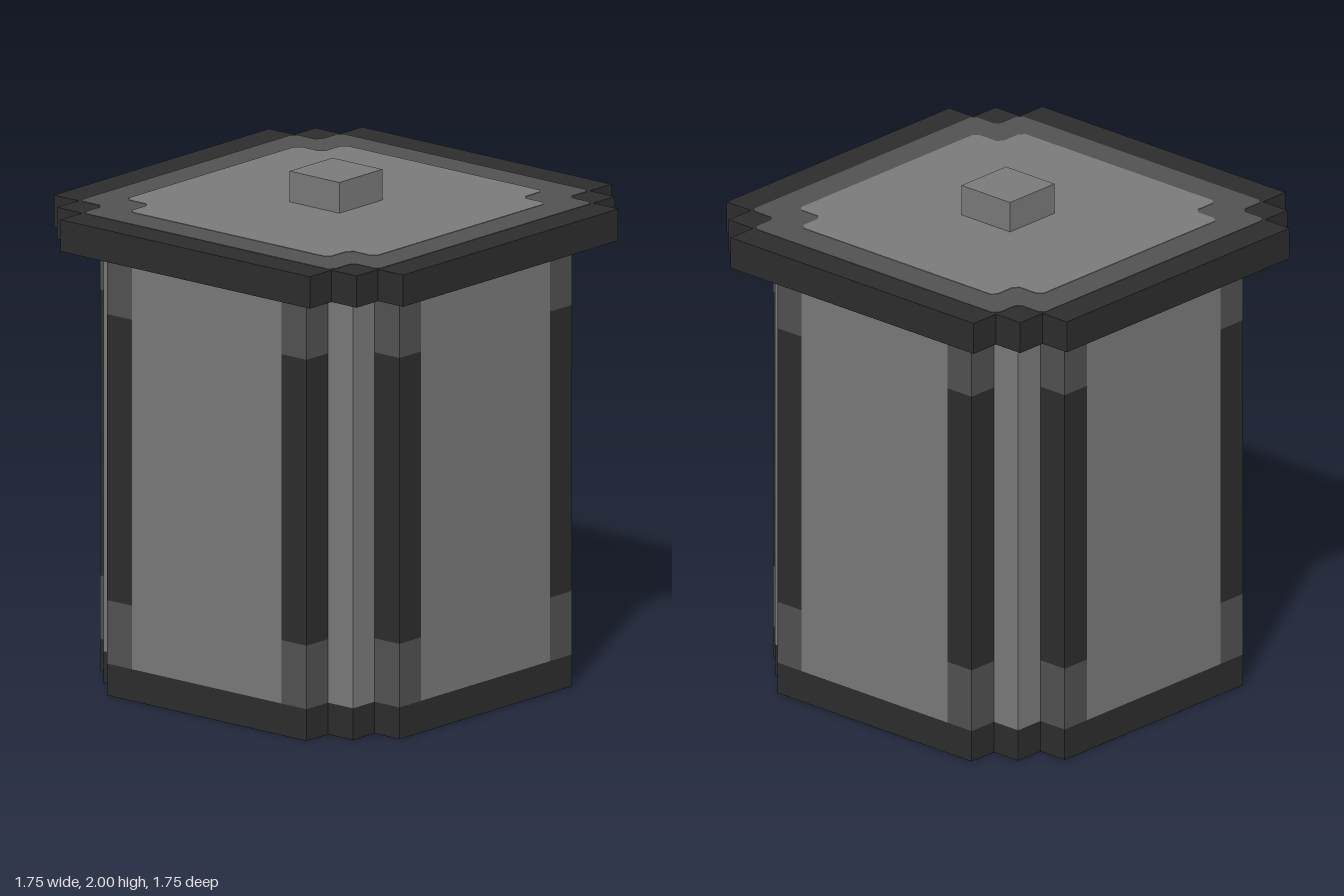
import * as THREE from 'three';

const U = 0.125; // basic step of the blocky design

const flat = (name, color) => {
  const m = new THREE.MeshStandardMaterial({ color });
  m.name = name;
  return m;
};

// Square outline with stepped corners. `steps` counts the notches per corner,
// `c` trims every corner by a small bevel.
function steppedShape(half, steps, c = 0) {
  const quarter = [];
  for (let i = 0; i <= steps; i++) {
    const x = half - i * U, y = half - (steps - i) * U;
    quarter.push([x, y]);
    if (i < steps) quarter.push([x - U, y]);
  }
  const corners = [];
  for (let q = 0; q < 4; q++) {
    for (const [x, y] of quarter) {
      corners.push(new THREE.Vector2(x, y).rotateAround(new THREE.Vector2(), q * Math.PI / 2));
    }
  }
  if (!c) return new THREE.Shape(corners);
  const points = [];
  corners.forEach((p, i) => {
    const prev = corners.at(i - 1), next = corners[(i + 1) % corners.length];
    for (const o of [prev, next]) points.push(p.clone().add(o.clone().sub(p).setLength(c)));
  });
  return new THREE.Shape(points);
}

export function createModel() {
  const model = new THREE.Group();
  model.name = 'lantern';
  const light = flat('lightGrey', 0x7b7b7b);
  const mid = flat('midGrey', 0x525252);
  const dark = flat('darkGrey', 0x2d2d2d);

  const add = (parent, name, geometry, material, x, y, z) => {
    const mesh = new THREE.Mesh(geometry, material);
    mesh.name = name;
    mesh.position.set(x, y, z);
    parent.add(mesh);
    return mesh;
  };
  const box = (parent, name, material, w, y0, y1, d, x = 0, z = 0) =>
    add(parent, name, new THREE.BoxGeometry(w, y1 - y0, d), material, x, (y0 + y1) / 2, z);
  const slab = (name, material, shape, y0, height) => {
    const g = new THREE.ExtrudeGeometry(shape, { depth: height, bevelEnabled: false });
    g.rotateX(-Math.PI / 2);
    return add(model, name, g, material, 0, y0, 0);
  };

  // Base and inner core
  slab('base', dark, steppedShape(0.75, 2), 0, U);
  box(model, 'core', light, 1.25, U, 1.75, 1.25);

  // Four identical sides: a wide panel between two banded posts
  ['front', 'left', 'back', 'right'].forEach((side, i) => {
    const group = new THREE.Group();
    group.name = side + 'Side';
    group.rotation.y = i * Math.PI / 2;
    model.add(group);
    const z = 0.6875;
    box(group, 'panel', light, 0.75, U, 1.75, U, 0, z);
    for (const s of [-1, 1]) {
      const x = s * 0.4375;
      box(group, 'postFoot', mid, U, U, 0.375, U, x, z);
      box(group, 'postBand', dark, U, 0.375, 1.5, U, x, z);
      box(group, 'postHead', mid, U, 1.5, 1.75, U, x, z);
    }
  });

  // Lid with two thin inlays and a knob
  slab('lid', dark, steppedShape(0.875, 2), 1.75, U);
  slab('lidBorder', mid, steppedShape(0.75, 1, 0.02), 1.875, 0.002);
  slab('lidCentre', light, steppedShape(0.625, 1, 0.02), 1.877, 0.002);
  box(model, 'knob', light, 0.25, 1.875, 2, 0.25);

  return model;
}
